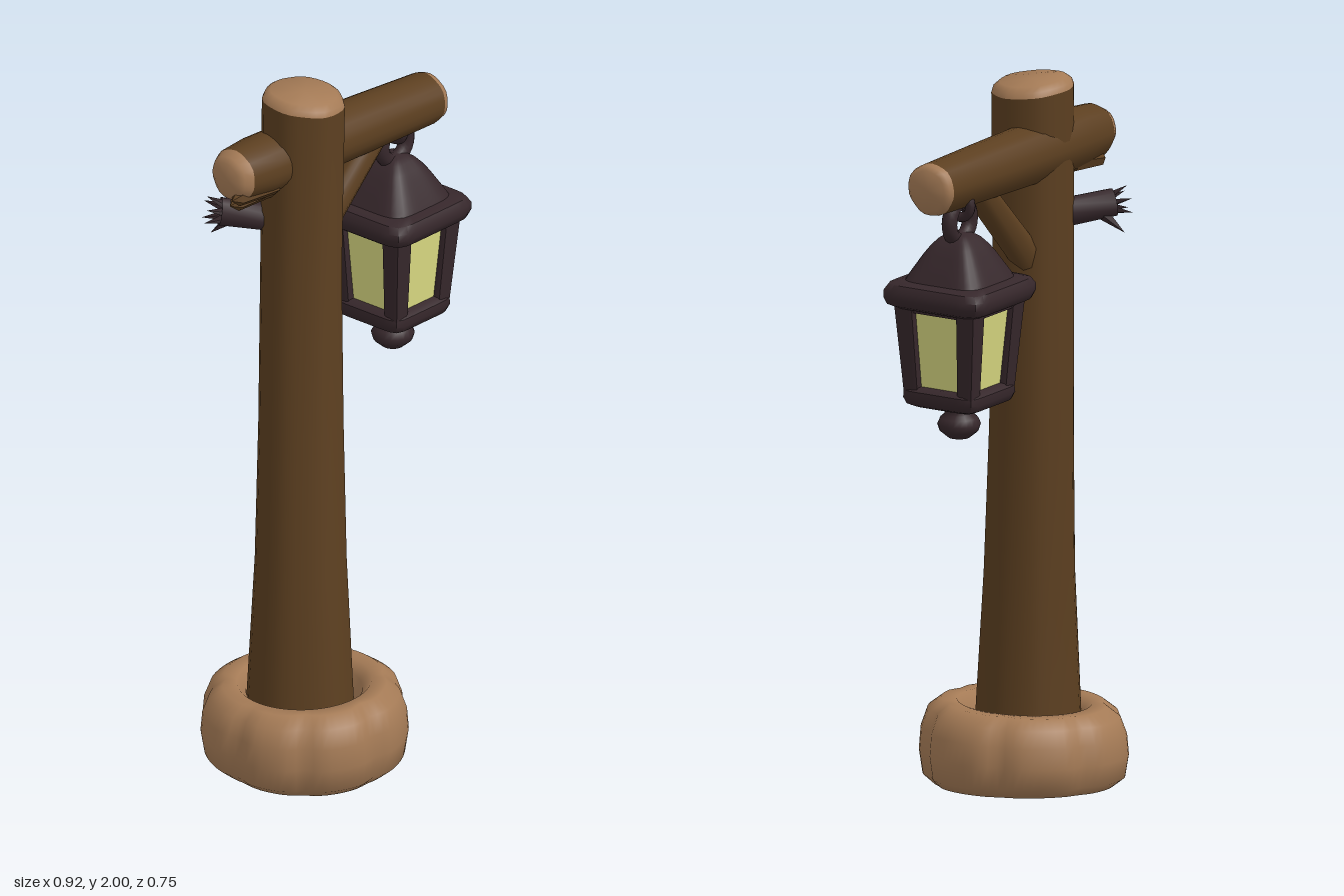
import * as THREE from 'three';
import { toCreasedNormals } from 'three/addons/utils/BufferGeometryUtils.js';

const mat = (name, color) => {
  const m = new THREE.MeshStandardMaterial({ color });
  m.name = name;
  return m;
};

// Skin a stack of rings; each section is [x, y, z, radius]. shape(a, i) scales the radius.
function loft(sections, n = 24, shape = () => 1, crease = 0.75) {
  const pos = [], idx = [];
  sections.forEach(([x, y, z, r], i) => {
    for (let j = 0; j < n; j++) {
      const a = (j / n) * Math.PI * 2, k = r * shape(a, i);
      pos.push(x + k * Math.sin(a), y, z + k * Math.cos(a));
    }
  });
  for (let i = 0; i < sections.length - 1; i++) {
    for (let j = 0; j < n; j++) {
      const a = i * n + j, b = i * n + (j + 1) % n;
      if (sections[i][3] > 0) idx.push(a, b, b + n);
      if (sections[i + 1][3] > 0) idx.push(a, b + n, a + n);
    }
  }
  const g = new THREE.BufferGeometry();
  g.setAttribute('position', new THREE.Float32BufferAttribute(pos, 3));
  g.setIndex(idx);
  return toCreasedNormals(g, crease);
}

// Loft about the y axis from [radius, y] pairs
const turned = (pts, n, shape, crease) => loft(pts.map(([r, y]) => [0, y, 0, r]), n, shape, crease);

// Rounded-square outline; a larger p gives tighter corners
const square = (p) => (a) =>
  Math.pow(Math.abs(Math.cos(a)) ** p + Math.abs(Math.sin(a)) ** p, -1 / p);

// Slightly uneven hewn outline
const hewn = (seed) => (a) => 1 + 0.02 * Math.sin(3 * a + seed) + 0.015 * Math.sin(7 * a + seed * 2);

export function createModel() {
  const root = new THREE.Group();
  const wood = mat('darkWood', 0x5c3f20);
  const pale = mat('paleBrown', 0xa57b56);
  const metal = mat('darkMetal', 0x36272b);
  const glass = mat('yellowGlass', 0xdada82);

  const add = (parent, name, geometry, material) => {
    const m = new THREE.Mesh(geometry, material);
    m.name = name;
    parent.add(m);
    return m;
  };
  const UP = new THREE.Vector3(0, 1, 0);
  // Group whose local y axis runs from a to b
  const along = (name, a, b) => {
    const g = new THREE.Group(), p = new THREE.Vector3(...a), d = new THREE.Vector3(...b).sub(p);
    g.name = name;
    g.position.copy(p);
    g.userData.length = d.length();
    g.quaternion.setFromUnitVectors(UP, d.normalize());
    root.add(g);
    return g;
  };

  // Base: ring of rounded stones with a socket for the post
  const seams = [0.25, 1.15, 2.2, 3.1, 4.1, 5.0, 5.75];
  const lump = (a, i) => {
    let s = 0;
    for (const c of seams) {
      const d = Math.atan2(Math.sin(a - c), Math.cos(a - c));
      s += Math.exp(-((d / 0.12) ** 2));
    }
    return i > 6 ? 1 : 1.01 - 0.055 * s * (i > 1 ? 1 : 0.4) + 0.015 * Math.sin(2 * a + 1);
  };
  const base = turned([[0, 0], [0.245, 0], [0.275, 0.025], [0.285, 0.09], [0.28, 0.15], [0.262, 0.2],
    [0.225, 0.228], [0.185, 0.228], [0.16, 0.2], [0.145, 0.13], [0, 0.12]], 72, lump, 0.9);
  const bp = base.attributes.position;
  for (let i = 0; i < bp.count; i++) bp.setY(i, bp.getY(i) * (1 + 0.25 * bp.getZ(i)));
  add(root, 'stoneBase', toCreasedNormals(base, 0.9), pale).position.set(-0.18, 0, 0.088);

  // Leaning post, flared at the foot, with a slanted pale top
  const tilt = (g) => {
    const p = g.attributes.position;
    for (let i = 0; i < p.count; i++) {
      if (p.getY(i) > 1.9) p.setY(i, p.getY(i) - 0.12 * (p.getX(i) + 0.1));
    }
    return toCreasedNormals(g, 0.75);
  };
  add(root, 'post', tilt(loft([[-0.183, 0.1, 0.075, 0.15], [-0.18, 0.24, 0.07, 0.143],
    [-0.165, 0.6, 0.047, 0.125], [-0.144, 1, 0.012, 0.116], [-0.124, 1.45, -0.022, 0.111],
    [-0.104, 1.96, -0.043, 0.113]], 28, hewn(1))), wood);
  add(root, 'postTop', tilt(loft([[-0.104, 1.96, -0.043, 0.113], [-0.103, 1.975, -0.043, 0.108],
    [-0.103, 1.988, -0.043, 0.092], [-0.103, 1.989, -0.043, 0]], 28, hewn(1))), pale);

  // Cross beam with pale worn ends
  const beam = along('beam', [-0.375, 1.815, 0.005], [0.4, 1.755, -0.21]);
  const L = beam.userData.length;
  add(beam, 'beamLog', turned([[0.075, 0.03], [0.084, 0.12], [0.085, 0.3], [0.08, 0.55], [0.074, L - 0.025]],
    24, hewn(2)), wood);
  add(beam, 'brokenEnd', turned([[0, -0.005], [0.045, -0.005], [0.062, 0.005], [0.075, 0.03]], 24, hewn(2)), pale);
  add(beam, 'cutEnd', turned([[0.074, L - 0.025], [0.07, L - 0.01], [0.058, L], [0, L]], 24, hewn(2)), pale);

  // Splinters below the broken end: [from, to, radius]
  [[[-0.2, 1.735, -0.03], [-0.37, 1.728, 0.01], 0.032],
    [[-0.22, 1.755, 0.0], [-0.385, 1.765, 0.045], 0.03],
    [[-0.22, 1.745, -0.06], [-0.36, 1.74, -0.04], 0.03]].forEach(([a, b, r]) => {
    const s = along('splinter', a, b), len = s.userData.length;
    add(s, 'splinterShard', turned([[0, 0], [r, 0.01], [r * 0.75, len * 0.85], [0, len]], 6), wood);
  });

  // Diagonal brace under the beam
  const brace = along('brace', [-0.06, 1.5, -0.072], [0.2, 1.755, -0.15]);
  add(brace, 'braceLog', turned([[0, 0], [0.04, 0], [0.036, brace.userData.length], [0, brace.userData.length]],
    12, square(4)), wood);

  // Broken metal stub behind the post
  const stub = along('metalStub', [-0.17, 1.605, -0.06], [-0.32, 1.632, -0.13]);
  const sl = stub.userData.length;
  add(stub, 'stubBar', turned([[0, 0], [0.042, 0], [0.04, sl], [0, sl - 0.02]], 10), metal);
  for (let i = 0; i < 5; i++) {
    const a = (i / 5) * Math.PI * 2;
    const spike = add(stub, 'stubSpike', new THREE.ConeGeometry(0.016, 0.07, 4), metal);
    spike.position.set(0.028 * Math.sin(a), sl + 0.01, 0.028 * Math.cos(a));
    spike.rotation.set(0.35 * Math.cos(a), 0, -0.35 * Math.sin(a));
  }
  const drip = along('bentShard', [-0.28, 1.61, -0.12], [-0.33, 1.55, -0.165]);
  add(drip, 'bentShardTip', turned([[0, 0], [0.02, 0.005], [0, drip.userData.length]], 5), metal);

  // Lantern, hung slightly askew
  const lantern = new THREE.Group();
  lantern.name = 'lantern';
  lantern.position.set(0.266, 1.62, -0.186);
  lantern.rotation.set(-0.043, 0.32, -0.043);
  root.add(lantern);

  add(lantern, 'roofRim', turned([[0, -0.2], [0.135, -0.2], [0.155, -0.19], [0.163, -0.17], [0.163, -0.15],
    [0.152, -0.132], [0.125, -0.125], [0, -0.125]], 48, square(9)), metal);
  add(lantern, 'roof', turned([[0.128, -0.135], [0.118, -0.115], [0.1, -0.085], [0.082, -0.055], [0.066, -0.032],
    [0.048, -0.012], [0.03, 0], [0, 0.004]], 48, square(5), 0.9), metal);
  add(lantern, 'glass', turned([[0.09, -0.44], [0.114, -0.19]], 48, square(24)), glass);
  add(lantern, 'bottomPlate', turned([[0, -0.482], [0.095, -0.482], [0.112, -0.474], [0.12, -0.455], [0.118, -0.435],
    [0.105, -0.424], [0, -0.424]], 48, square(9)), metal);

  // Tapered corner bars and the upper window rail
  for (const sx of [-1, 1]) {
    for (const sz of [-1, 1]) {
      add(lantern, 'cornerBar', loft([[sx * 0.087, -0.45, sz * 0.087, 0.024], [sx * 0.102, -0.18, sz * 0.102, 0.031]],
        24, square(8)), metal);
    }
  }
  add(lantern, 'upperRail', turned([[0.112, -0.212], [0.124, -0.21], [0.126, -0.19]], 48, square(12)), metal);

  // Finial below the lantern
  add(lantern, 'finial', turned([[0, -0.58], [0.03, -0.576], [0.054, -0.556], [0.06, -0.537], [0.052, -0.52],
    [0.04, -0.51], [0.038, -0.495], [0.046, -0.475]], 20, undefined, 0.9), metal);

  // Hanging ring and the link that ties it to the beam
  const ring = add(lantern, 'hangingRing', new THREE.TorusGeometry(0.052, 0.022, 10, 24), metal);
  ring.position.y = 0.035;
  const link = add(lantern, 'hangingLink', new THREE.TorusGeometry(0.035, 0.014, 8, 20), metal);
  link.position.y = 0.08;
  link.rotation.y = Math.PI / 2;

  return root;
}
